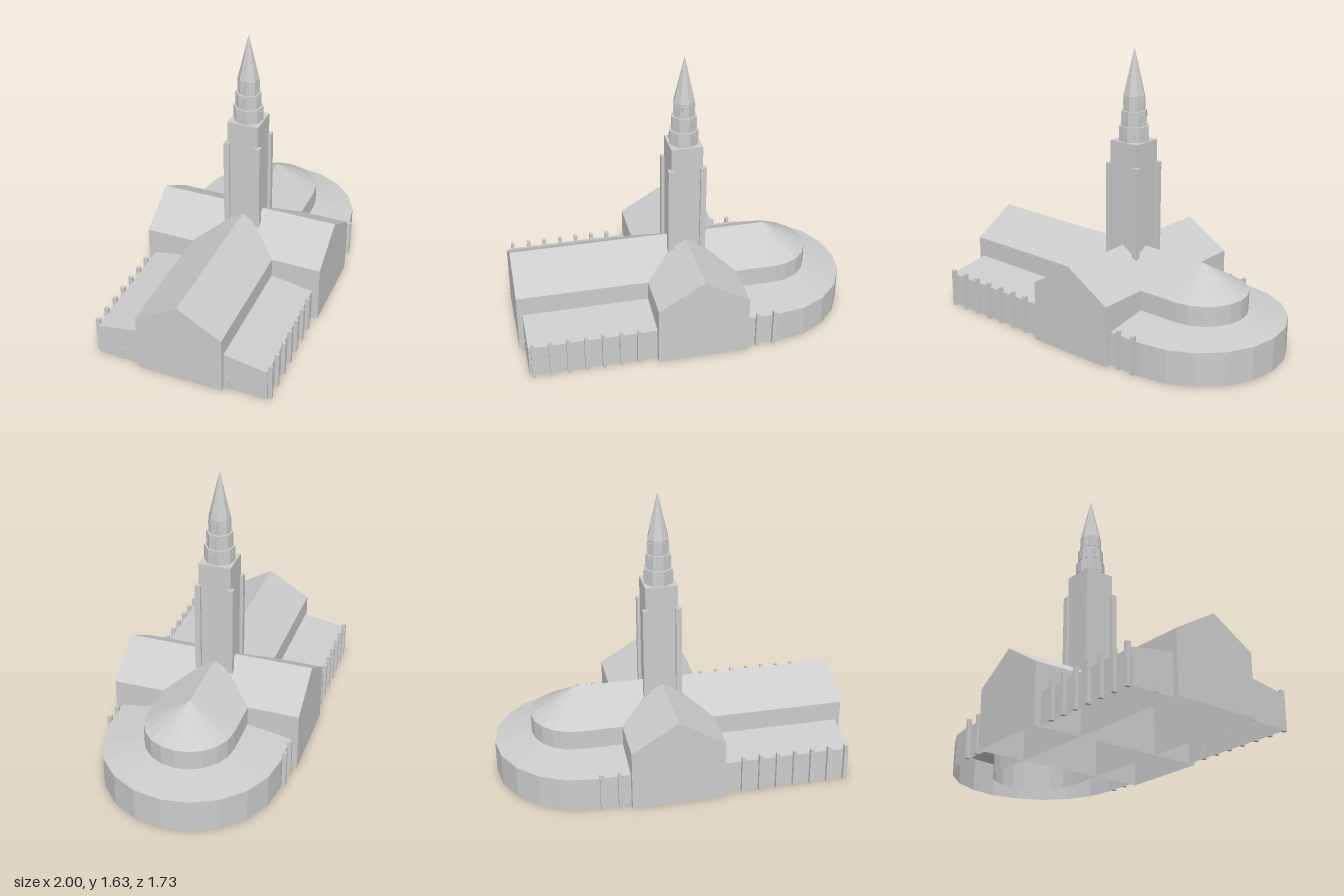
import * as THREE from 'three';

const stone = new THREE.MeshStandardMaterial({ color: 0xcccccc, flatShading: true, side: THREE.DoubleSide });
stone.name = 'pale stone';

// Surface through rows of points, each row having the same count
function surface(rows) {
  const n = rows[0].length, index = [];
  for (let i = 0; i < rows.length - 1; i++) {
    for (let j = 0; j < n - 1; j++) {
      const a = i * n + j, b = a + n;
      index.push(a, b, a + 1, b, b + 1, a + 1);
    }
  }
  const g = new THREE.BufferGeometry();
  g.setAttribute('position', new THREE.Float32BufferAttribute(rows.flat(2), 3));
  g.setIndex(index);
  const flat = g.toNonIndexed();
  flat.computeVertexNormals();
  return flat;
}

function add(parent, name, geometry, x = 0, y = 0, z = 0) {
  const mesh = new THREE.Mesh(geometry, stone);
  mesh.name = name;
  mesh.position.set(x, y, z);
  parent.add(mesh);
  return mesh;
}

// Gabled cross-section at x, and a row collapsed to its foot to close the end
const gable = (x, half, eave, ridge) =>
  [[x, 0, half], [x, eave, half], [x, ridge, 0], [x, eave, -half], [x, 0, -half]];
const closed = (x) => Array.from({ length: 5 }, () => [x, 0, 0]);

export function createModel() {
  const model = new THREE.Group();
  model.name = 'church';
  // Local x runs along the nave toward the apse, the tower stands at the origin
  const church = new THREE.Group();
  church.name = 'building';
  church.rotation.y = 0.57;
  church.position.set(0.113, 0, -0.113);
  model.add(church);

  // Nave and transept, open underneath
  const navW = 0.253, aisleW = 0.506, apseX = 0.5, ringX = 0.46;
  add(church, 'nave', surface([closed(-1.025), gable(-1.025, navW, 0.35, 0.5), gable(apseX, navW, 0.35, 0.5)]));
  const transept = add(church, 'transept', surface([
    closed(-0.546), gable(-0.546, 0.263, 0.35, 0.508), gable(0.546, 0.263, 0.35, 0.508), closed(0.546)]));
  transept.rotation.y = Math.PI / 2;

  // Round apse with half-cone roof, and the lower ambulatory around it
  const apse = [], ring = [];
  const ringRow = (xo, zo, xi, zi) => [[xo, 0, zo], [xo, 0.193, zo], [xi, 0.235, zi]];
  ring.push(ringRow(0.262, aisleW, 0.262, navW));
  for (let i = 0; i <= 10; i++) {
    const t = Math.PI / 2 - (i / 10) * Math.PI, c = Math.cos(t), s = Math.sin(t);
    const x = apseX + navW * c, z = navW * s;
    apse.push([[x, 0, z], [x, 0.35, z], [apseX, 0.5, 0]]);
    ring.push(ringRow(ringX + aisleW * c, aisleW * s, x, z));
  }
  ring.push(ringRow(0.262, -aisleW, 0.262, -navW));
  add(church, 'apse', surface(apse));
  add(church, 'ambulatory', surface(ring));

  // Side aisles with lean-to roofs, pilasters and small arched doors
  const arch = new THREE.Shape();
  arch.moveTo(-0.018, 0);
  arch.lineTo(0.018, 0);
  arch.lineTo(0.018, 0.06);
  arch.absarc(0, 0.06, 0.018, 0, Math.PI, false);
  const doorGeo = new THREE.ExtrudeGeometry(arch, { depth: 0.004, bevelEnabled: false, curveSegments: 6 });
  const pilasterGeo = new THREE.BoxGeometry(0.02, 0.225, 0.025);
  for (const s of [1, -1]) {
    const section = (x) => [[x, 0, s * aisleW], [x, 0.193, s * aisleW], [x, 0.235, s * navW], [x, 0, s * navW]];
    const foot = [-0.995, 0, s * navW];
    add(church, 'aisle', surface([[foot, foot, foot, foot], section(-0.995), section(-0.262)]));
    const door = add(church, 'aisleDoor', doorGeo, -0.995, 0, s > 0 ? 0.272 : -0.365);
    door.rotation.y = -Math.PI / 2;
    for (let i = 0; i < 9; i++) {
      const x = i < 7 ? -0.972 + i * 0.1 : 0.325 + (i - 7) * 0.1;
      add(church, 'pilaster', pilasterGeo, x, 0.1125, s * 0.516);
    }
  }

  // Square tower with corner buttresses
  add(church, 'tower', new THREE.BoxGeometry(0.184, 0.68, 0.184), 0, 0.77, 0);
  const buttressGeo = new THREE.BoxGeometry(0.033, 0.56, 0.033);
  for (const x of [-1, 1]) for (const z of [-1, 1]) {
    add(church, 'buttress', buttressGeo, x * 0.094, 0.7, z * 0.094);
  }

  // Three stepped octagonal tiers with belfry windows, then the spire
  const belfry = new THREE.Group();
  belfry.name = 'belfry';
  belfry.position.copy(church.position);
  model.add(belfry);
  const windowGeo = new THREE.BoxGeometry(0.022, 0.052, 0.008);
  [0.086, 0.074, 0.062].forEach((r, i) => {
    const y = 1.1525 + i * 0.085;
    add(belfry, 'tier', new THREE.CylinderGeometry(r, r, 0.085, 8), 0, y, 0);
    for (let k = 0; k < 8; k++) {
      const t = (k + 0.5) * Math.PI / 4, d = r * Math.cos(Math.PI / 8);
      const w = add(belfry, 'belfryWindow', windowGeo, d * Math.sin(t), y, d * Math.cos(t));
      w.rotation.y = t;
    }
  });
  add(belfry, 'spire', new THREE.ConeGeometry(0.062, 0.265, 8), 0, 1.4975, 0);
  return model;
}
